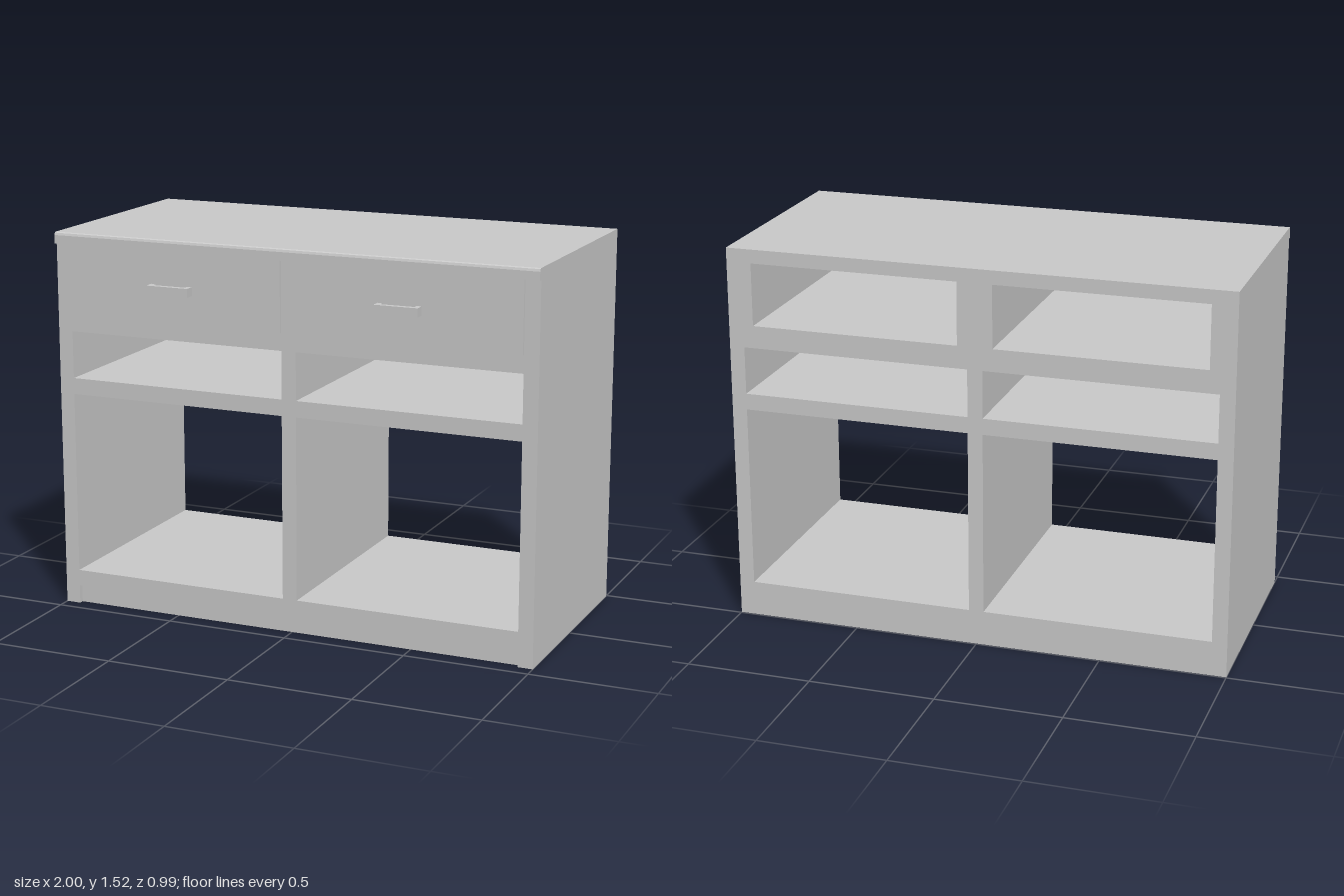
import * as THREE from 'three';

const BACK = -0.495, FACE = 0.425, FRONT = 0.445, TOP = 1.525;
const DRAWER_FRONT = 0.456, HANDLE_FRONT = 0.497;

export function createModel() {
  const group = new THREE.Group();
  group.name = 'sideboard';
  const material = new THREE.MeshStandardMaterial({ color: 0xcccccc, flatShading: true });

  const add = (name, geometry, parent = group) => {
    const mesh = new THREE.Mesh(geometry, material);
    mesh.name = name;
    parent.add(mesh);
    return mesh;
  };
  // Box given by its minimum and maximum corners
  const box = (name, [x0, y0, z0], [x1, y1, z1], parent) =>
    add(name, new THREE.BoxGeometry(x1 - x0, y1 - y0, z1 - z0), parent)
      .position.set((x0 + x1) / 2, (y0 + y1) / 2, (z0 + z1) / 2);
  const polygon = (points) => new THREE.Shape(points.map(([x, y]) => new THREE.Vector2(x, y)));

  // Open compartments on the +x side: [x0, x1, y0, y1]
  const openings = [
    [0.03, 0.94, 0.14, 0.875], // lower cupboard
    [0.03, 0.94, 0.94, 1.13],  // middle shelf
    [0.07, 0.90, 1.22, 1.47],  // drawer bay
  ];
  const pierced = (name, outline, z0, z1) => {
    const shape = polygon(outline);
    for (const s of [-1, 1]) {
      for (const [x0, x1, y0, y1] of openings) {
        shape.holes.push(polygon([[s * x0, y0], [s * x1, y0], [s * x1, y1], [s * x0, y1]]));
      }
    }
    const geometry = new THREE.ExtrudeGeometry(shape, { depth: z1 - z0, bevelEnabled: false });
    add(name, geometry.translate(0, 0, z0));
  };

  // Carcass, and a face frame whose notch forms the toe recess
  pierced('carcass', [[-1, 0], [1, 0], [1, TOP], [-1, TOP]], BACK, FACE);
  pierced('faceFrame', [
    [-1, 0], [-0.94, 0], [-0.94, 0.075], [0.94, 0.075], [0.94, 0], [1, 0], [1, TOP], [-1, TOP],
  ], FACE, FRONT);

  // Chamfered lip along the front edge of the top
  const lip = new THREE.ExtrudeGeometry(
    polygon([[-FRONT, 1.48], [-FRONT, TOP], [-0.45, TOP], [-0.457, 1.522], [-0.46, 1.513], [-0.46, 1.48]]),
    { depth: 2, bevelEnabled: false });
  add('topLip', lip.rotateY(Math.PI / 2).translate(-1, 0, 0));

  // Drawer fronts with bracket handles
  const drawers = [
    { side: 'right', x: -0.94, handle: -0.49 },
    { side: 'left', x: 0.03, handle: 0.457 },
  ];
  for (const { side, x, handle } of drawers) {
    const drawer = new THREE.Group();
    drawer.name = `${side}Drawer`;
    group.add(drawer);
    box('drawerFront', [x, 1.2, FRONT], [x + 0.91, 1.48, DRAWER_FRONT], drawer);
    const bar = HANDLE_FRONT - 0.02, half = 0.088;
    box('handleBar', [handle - half, 1.315, bar], [handle + half, 1.35, HANDLE_FRONT], drawer);
    for (const px of [handle - half, handle + half - 0.02]) {
      box('handlePost', [px, 1.315, DRAWER_FRONT], [px + 0.02, 1.35, bar], drawer);
    }
  }
  return group;
}
